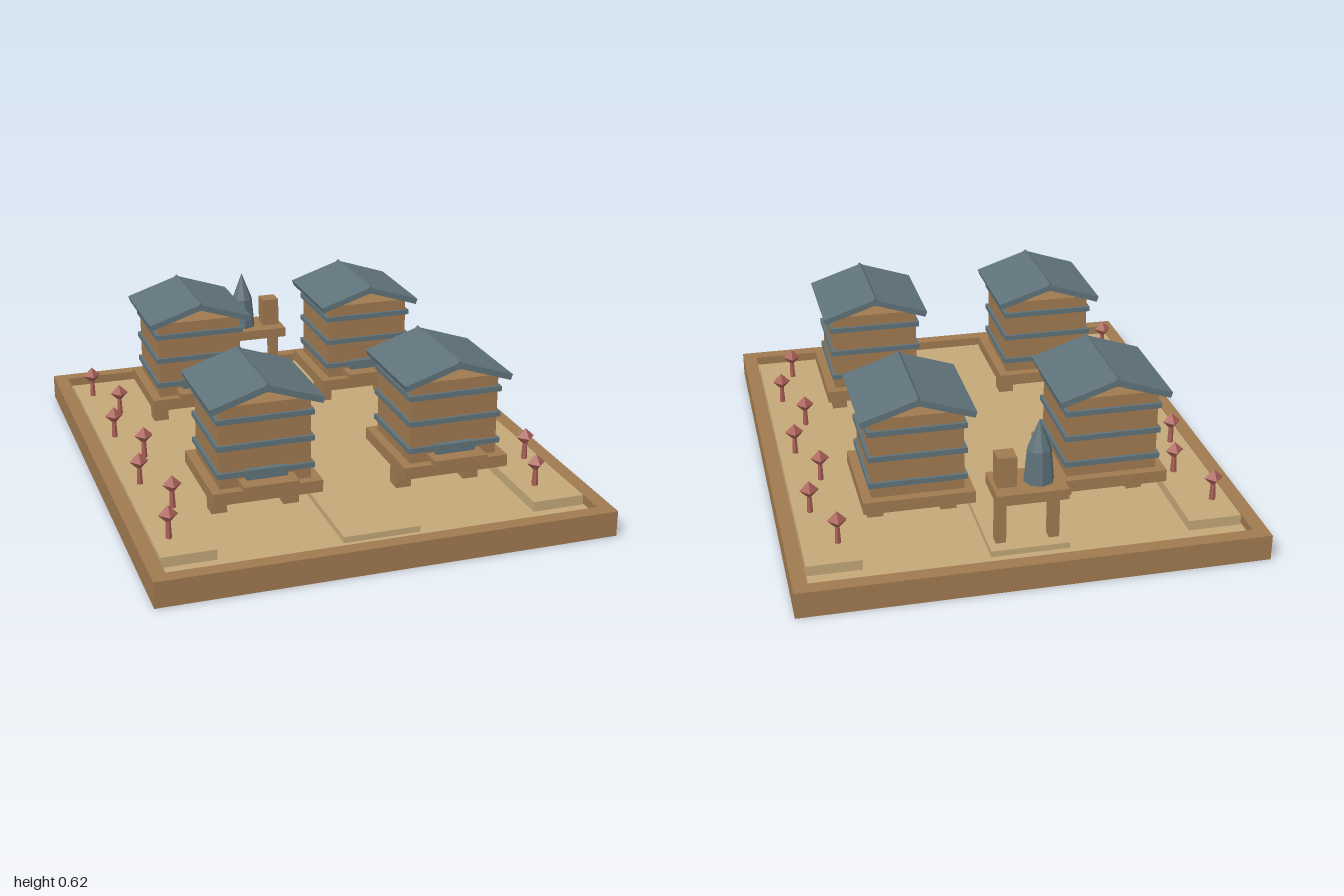
import * as THREE from 'three';

const material = (color) => new THREE.MeshStandardMaterial({ color, flatShading: true });

export function createModel() {
  const wood = material(0xa07a50);
  const sand = material(0xc4a878);
  const slate = material(0x5f737a);
  const bloom = material(0xa85f55);

  const group = (parent, name) => {
    const g = new THREE.Group();
    g.name = name;
    parent.add(g);
    return g;
  };
  const mesh = (parent, name, geometry, mat, x, y, z) => {
    const m = new THREE.Mesh(geometry, mat);
    m.name = name;
    m.position.set(x, y, z);
    parent.add(m);
    return m;
  };
  // Box placed by its centre in x and z and by its bottom and top in y
  const box = (parent, name, mat, w, d, y0, y1, x = 0, z = 0) =>
    mesh(parent, name, new THREE.BoxGeometry(w, y1 - y0, d), mat, x, (y0 + y1) / 2, z);

  const model = new THREE.Group();
  model.name = 'apiary';

  // Ground tray with a wooden rim, a path and two planting beds
  const tray = group(model, 'tray');
  box(tray, 'ground', sand, 1.718, 1.95, 0, 0.065);
  for (const s of [-1, 1]) {
    box(tray, 'endRail', wood, 1.72, 0.055, 0.001, 0.1, 0, s * 0.9725);
    box(tray, 'sideRail', wood, 0.055, 1.89, 0.001, 0.1, s * 0.8325);
    box(tray, 'plantingBed', sand, 0.2, 1.69, 0.06, 0.104, s * 0.7);
  }
  box(tray, 'path', sand, 0.29, 1.73, 0.06, 0.088);

  // One beehive, centred on its own x and z
  const addHive = (x, z) => {
    const hive = group(model, 'hive');
    hive.position.set(x, 0, z);
    for (const s of [-1, 1]) box(hive, 'standLeg', wood, 0.06, 0.066, 0.06, 0.18, s * 0.138);
    box(hive, 'standTop', wood, 0.41, 0.41, 0.18, 0.226);
    box(hive, 'body', wood, 0.34, 0.34, 0.226, 0.538);
    for (const y of [0.279, 0.384, 0.484])
      box(hive, 'band', slate, 0.362, 0.362, y - 0.01, y + 0.01);
    box(hive, 'entrance', slate, 0.154, 0.03, 0.258, 0.295, 0, 0.178);
    box(hive, 'landingBoard', wood, 0.206, 0.085, 0.238, 0.258, 0, 0.206);

    // Pitched roof with a diamond ridge bar
    const roof = group(hive, 'roof');
    for (const s of [-1, 1]) {
      const panel = mesh(roof, 'roofPanel', new THREE.BoxGeometry(0.215, 0.023, 0.412), slate, s * 0.105, 0.569, 0);
      panel.rotation.z = -s * 0.32;
    }
    const ridge = mesh(roof, 'ridge', new THREE.BoxGeometry(0.025, 0.025, 0.412), slate, 0, 0.605, 0);
    ridge.rotation.z = Math.PI / 4;
  };
  for (const x of [-0.362, 0.362]) for (const z of [-0.465, 0.465]) addHive(x, z);

  // Tool table with a smoker and a small box
  const table = group(model, 'toolTable');
  table.position.set(0, 0, -0.795);
  for (const s of [-1, 1]) box(table, 'tableLeg', wood, 0.038, 0.042, 0.06, 0.28, s * 0.098);
  box(table, 'tableTop', wood, 0.26, 0.184, 0.28, 0.32);
  box(table, 'toolBox', wood, 0.07, 0.07, 0.32, 0.437, 0.08);
  const smoker = group(table, 'smoker');
  mesh(smoker, 'smokerBody', new THREE.CylinderGeometry(0.045, 0.056, 0.125, 8), slate, -0.042, 0.3825, 0);
  mesh(smoker, 'smokerCone', new THREE.ConeGeometry(0.045, 0.115, 8), slate, -0.042, 0.5025, 0);

  // Staggered rows of flowers along both beds
  const stemShape = new THREE.CylinderGeometry(0.008, 0.013, 0.1, 6);
  const headShape = new THREE.OctahedronGeometry(0.036);
  for (const s of [-1, 1]) {
    for (let i = 0; i < 7; i++) {
      const flower = group(model, 'flower');
      flower.position.set(s * 0.703 + (i % 2 ? 0.035 : -0.035), 0, (i - 3) * 0.236);
      mesh(flower, 'stem', stemShape, bloom, 0, 0.14, 0);
      mesh(flower, 'flowerHead', headShape, bloom, 0, 0.195, 0);
    }
  }
  return model;
}
